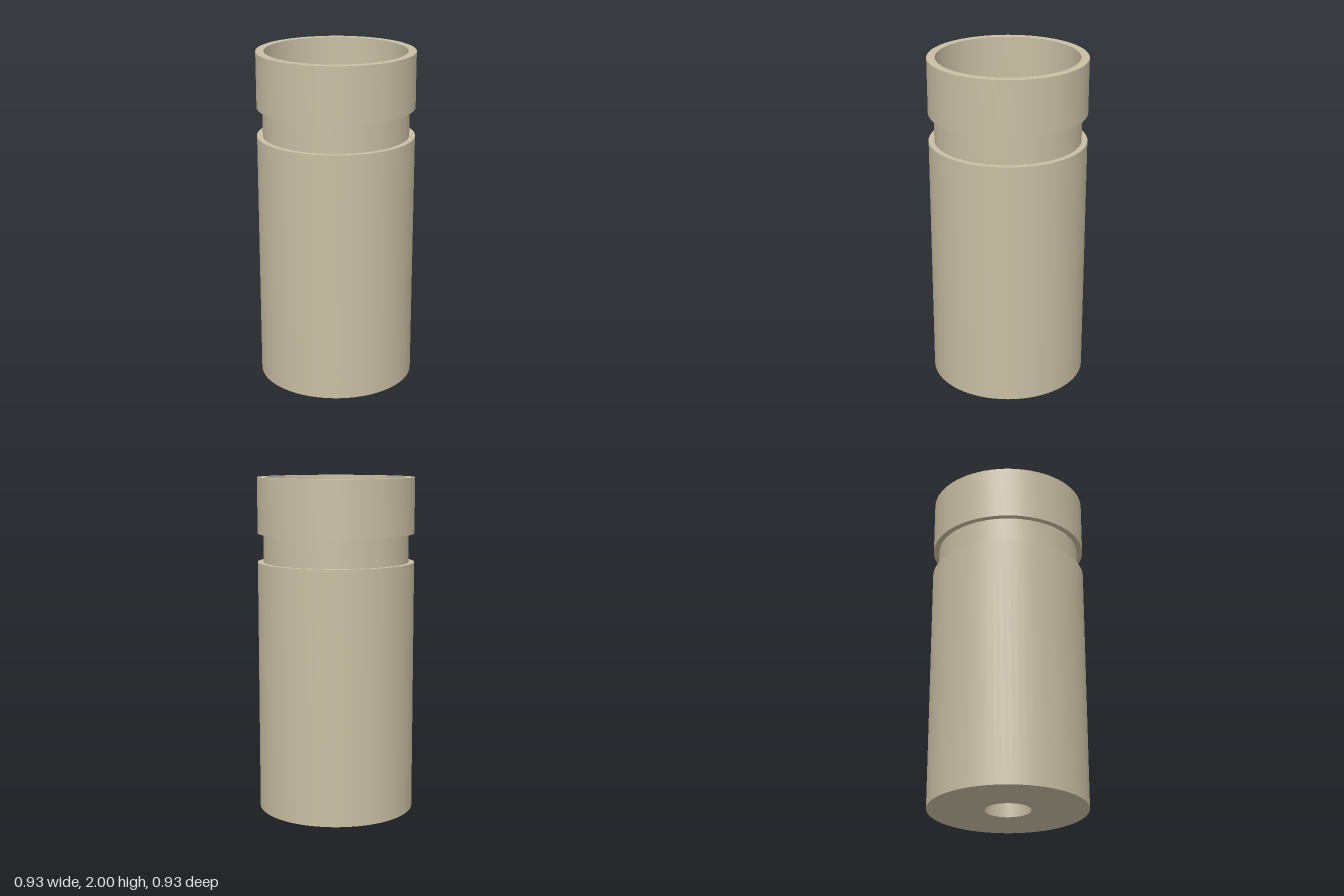
import * as THREE from 'three';
import { toCreasedNormals } from 'three/addons/utils/BufferGeometryUtils.js';

export function createModel() {
  const group = new THREE.Group();
  group.name = 'groovedSleeve';

  const outer = 0.466, groove = 0.432, bore = 0.418, counterbore = 0.217, hole = 0.135;

  // Closed wall section: underside, outer wall with groove, rim, then down the stepped bore
  const section = [
    [hole, 0], [outer, 0],
    [outer, 1.5], [groove, 1.5], [groove, 1.67], [outer, 1.67],
    [outer, 2], [bore, 2],
    [bore, 0.4], [counterbore, 0.4],
    [counterbore, 0.2], [hole, 0.2],
    [hole, 0],
  ].map(([r, y]) => new THREE.Vector2(r, y));

  const geometry = toCreasedNormals(new THREE.LatheGeometry(section, 72), Math.PI / 6);
  const sleeve = new THREE.Mesh(geometry, new THREE.MeshStandardMaterial({ color: 0xc8bea4 }));
  sleeve.name = 'sleeveBody';
  group.add(sleeve);
  return group;
}
